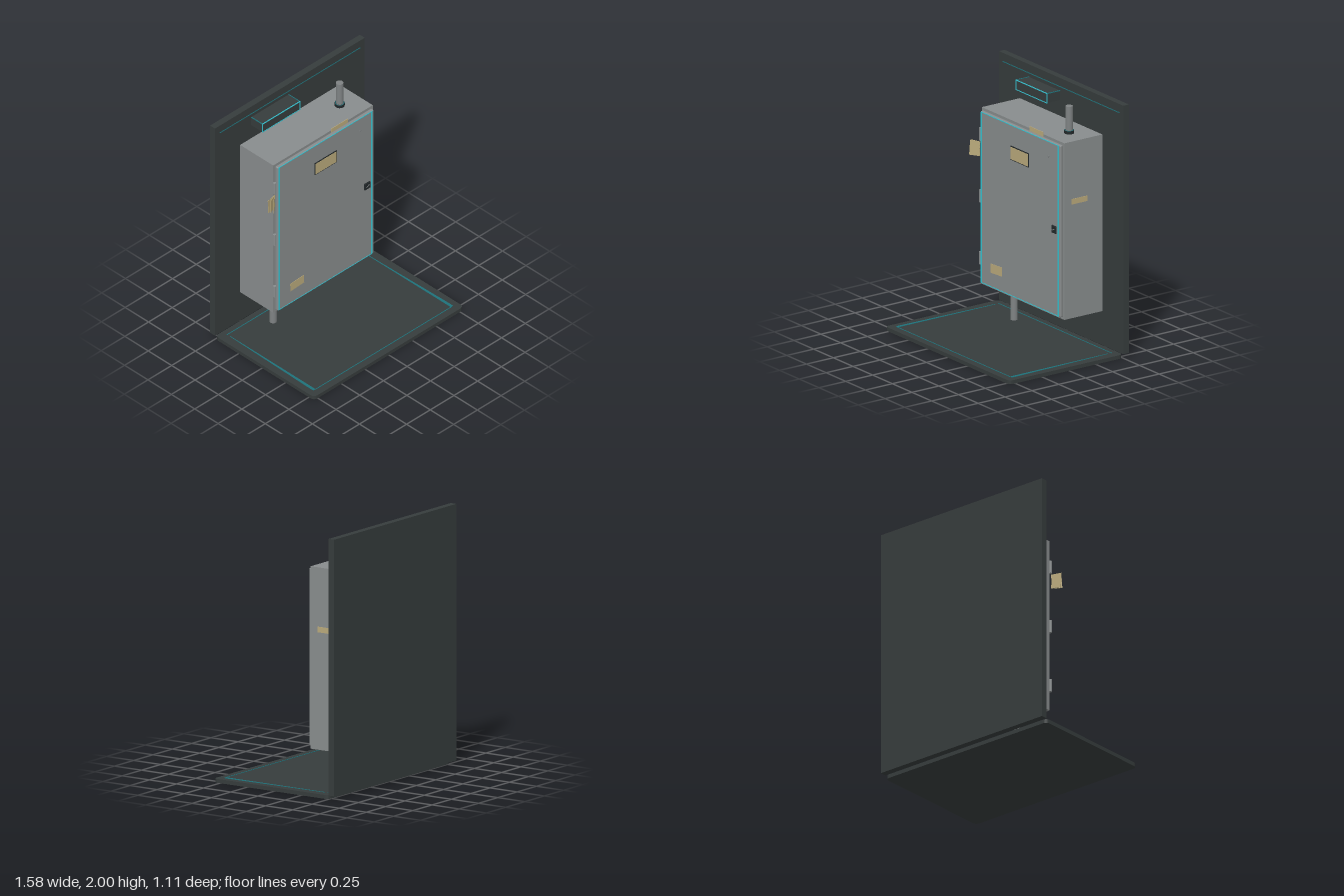
import * as THREE from 'three';
import { RoundedBoxGeometry } from 'three/addons/geometries/RoundedBoxGeometry.js';

const mat = (name, color, side = THREE.FrontSide) => {
  const m = new THREE.MeshStandardMaterial({ color, side });
  m.name = name;
  return m;
};

export function createModel() {
  const root = new THREE.Group();
  root.name = 'wallCabinet';

  const slate = mat('darkSlate', 0x363c3c);
  const trim = mat('blackTrim', 0x22282a);
  const grey = mat('cabinetGrey', 0x888c8d);
  const pipeGrey = mat('pipeGrey', 0x7e8283);
  const tan = mat('paperTan', 0xb9a97b);
  const teal = mat('dimTeal', 0x1f727a);
  const cyan = mat('brightCyan', 0x35c4d2);

  const add = (name, geo, m, x = 0, y = 0, z = 0, parent = root) => {
    const mesh = new THREE.Mesh(geo, m);
    mesh.name = name;
    mesh.position.set(x, y, z);
    parent.add(mesh);
    return mesh;
  };
  // Box given by its limits on each axis
  const box = (name, m, x0, x1, y0, y1, z0, z1) =>
    add(name, new THREE.BoxGeometry(x1 - x0, y1 - y0, z1 - z0), m,
      (x0 + x1) / 2, (y0 + y1) / 2, (z0 + z1) / 2);
  // Flat shape lying on the floor: points are [x, z]
  const slab = (name, shape, y0, height, m) => {
    const geo = new THREE.ExtrudeGeometry(shape, { depth: height, bevelEnabled: false, curveSegments: 6 });
    geo.rotateX(-Math.PI / 2);
    return add(name, geo, m, 0, y0, 0);
  };

  // Wall panel with its light line
  box('wallPanel', slate, -0.79, 0.79, 0.03, 2.0, -0.555, -0.503);
  box('wallLine', teal, -0.74, 0.74, 1.929, 1.935, -0.504, -0.5);

  // Floor plate with rounded corners
  const floor = new THREE.Shape();
  const X = 0.79, F = -0.555, B = 0.5, R = 0.04;
  floor.moveTo(-X + R, F);
  floor.lineTo(X - R, F);
  floor.quadraticCurveTo(X, F, X, F + R);
  floor.lineTo(X, B - R);
  floor.quadraticCurveTo(X, B, X - R, B);
  floor.lineTo(-X + R, B);
  floor.quadraticCurveTo(-X, B, -X, B - R);
  floor.lineTo(-X, F + R);
  floor.quadraticCurveTo(-X, F, -X + R, F);
  slab('floorPlate', floor, 0, 0.03, slate);

  // Floor guide lines, the side ones widening to the front
  box('floorLineBack', teal, -0.72, 0.72, 0.029, 0.033, -0.449, -0.443);
  box('floorLineFront', teal, -0.715, 0.715, 0.029, 0.033, 0.492, 0.498);
  for (const s of [-1, 1]) {
    const strip = new THREE.Shape([
      [0.714, 0.415], [0.718, 0.415], [0.738, -0.47], [0.735, -0.495], [0.714, -0.495],
    ].map(([x, y]) => new THREE.Vector2(s * x, y)));
    slab('floorLineSide', strip, 0.029, 0.004, teal);
  }

  // Cabinet body and door
  box('cabinetBody', grey, -0.525, 0.525, 0.3, 1.7, -0.503, -0.149);
  add('cabinetDoor', new RoundedBoxGeometry(1.016, 1.364, 0.03, 2, 0.01), grey, 0.002, 1, -0.136);

  // Light strips around the door
  for (const x of [-0.49, 0.487]) box('doorStripSide', cyan, x - 0.007, x + 0.007, 0.325, 1.675, -0.123, -0.118);
  for (const y of [0.325, 1.675]) box('doorStripEnd', cyan, -0.495, 0.495, y - 0.003, y + 0.003, -0.123, -0.119);

  // Hinges
  for (const y of [0.51, 1.0, 1.49]) {
    add('hinge', new THREE.CylinderGeometry(0.013, 0.013, 0.1, 12), grey, -0.522, y, -0.138);
  }

  // Name plate in its frame
  box('plateFrame', trim, -0.116, 0.114, 1.402, 1.513, -0.122, -0.116);
  box('plateFace', tan, -0.11, 0.107, 1.408, 1.506, -0.117, -0.114);

  // Lock with a slanted key slot
  add('lock', new RoundedBoxGeometry(0.06, 0.06, 0.014, 2, 0.006), trim, 0.436, 1, -0.118);
  add('keySlot', new THREE.BoxGeometry(0.034, 0.006, 0.004), pipeGrey, 0.436, 1, -0.11).rotation.z = 0.45;

  // Small door rivet
  const rivet = add('rivet', new THREE.CylinderGeometry(0.008, 0.008, 0.006, 12), pipeGrey, 0.365, 1.56, -0.119);
  rivet.rotation.x = Math.PI / 2;

  // Paper labels
  add('doorLabel', new THREE.BoxGeometry(0.143, 0.072, 0.003), tan, -0.301, 0.475, -0.12).rotation.z = 0.05;
  box('sideLabel', tan, 0.524, 0.528, 1.202, 1.245, -0.36, -0.215);
  box('topLabel', tan, 0.085, 0.26, 1.68, 1.717, -0.149, -0.145);

  // Fanned tags hanging off the hinge side
  const tags = new THREE.Group();
  tags.name = 'hangingTags';
  tags.position.set(-0.528, 1.372, -0.132);
  root.add(tags);
  [[0.17, 0.05, 0.083], [0.42, -0.03, 0.08], [0.72, -0.07, 0.078]].forEach(([turn, tilt, len]) => {
    const geo = new THREE.BoxGeometry(len, 0.115, 0.003);
    geo.translate(-len / 2, 0, 0);
    add('tag', geo, tan, 0, 0, 0, tags).rotation.set(0, turn, tilt);
  });

  // Conduits above and below, with a collar on the upper one
  const pipe = (name, x, y0, y1, r, m) =>
    add(name, new THREE.CylinderGeometry(r, r, y1 - y0, 24), m, x, (y0 + y1) / 2, -0.323);
  pipe('upperConduit', 0.348, 1.69, 1.915, 0.028, pipeGrey);
  pipe('lowerConduit', -0.354, 0.03, 0.31, 0.028, pipeGrey);
  pipe('conduitCollar', 0.348, 1.699, 1.724, 0.038, trim);
  const ring = add('collarRing', new THREE.TorusGeometry(0.033, 0.003, 6, 24), teal, 0.348, 1.724, -0.323);
  ring.rotation.x = Math.PI / 2;

  // Wall lamp with lit edges
  const [x0, x1, y0, y1, z1] = [-0.408, -0.014, 1.825, 1.9, -0.382];
  const e = 0.003;
  box('lampBody', slate, x0, x1, y0, y1, -0.504, z1);
  box('lampUnderside', trim, x0 + 0.015, x1 - 0.015, y0 - 0.005, y0, -0.44, z1 - 0.005);
  for (const y of [y0, y1]) box('lampEdgeFront', cyan, x0 - e, x1 + e, y - e, y + e, z1 - e, z1 + e);
  for (const x of [x0, x1]) {
    box('lampEdgeUpright', cyan, x - e, x + e, y0, y1, z1 - e, z1 + e);
    box('lampEdgeTop', teal, x - e, x + e, y1 - e, y1 + e, -0.503, z1);
  }

  return root;
}
